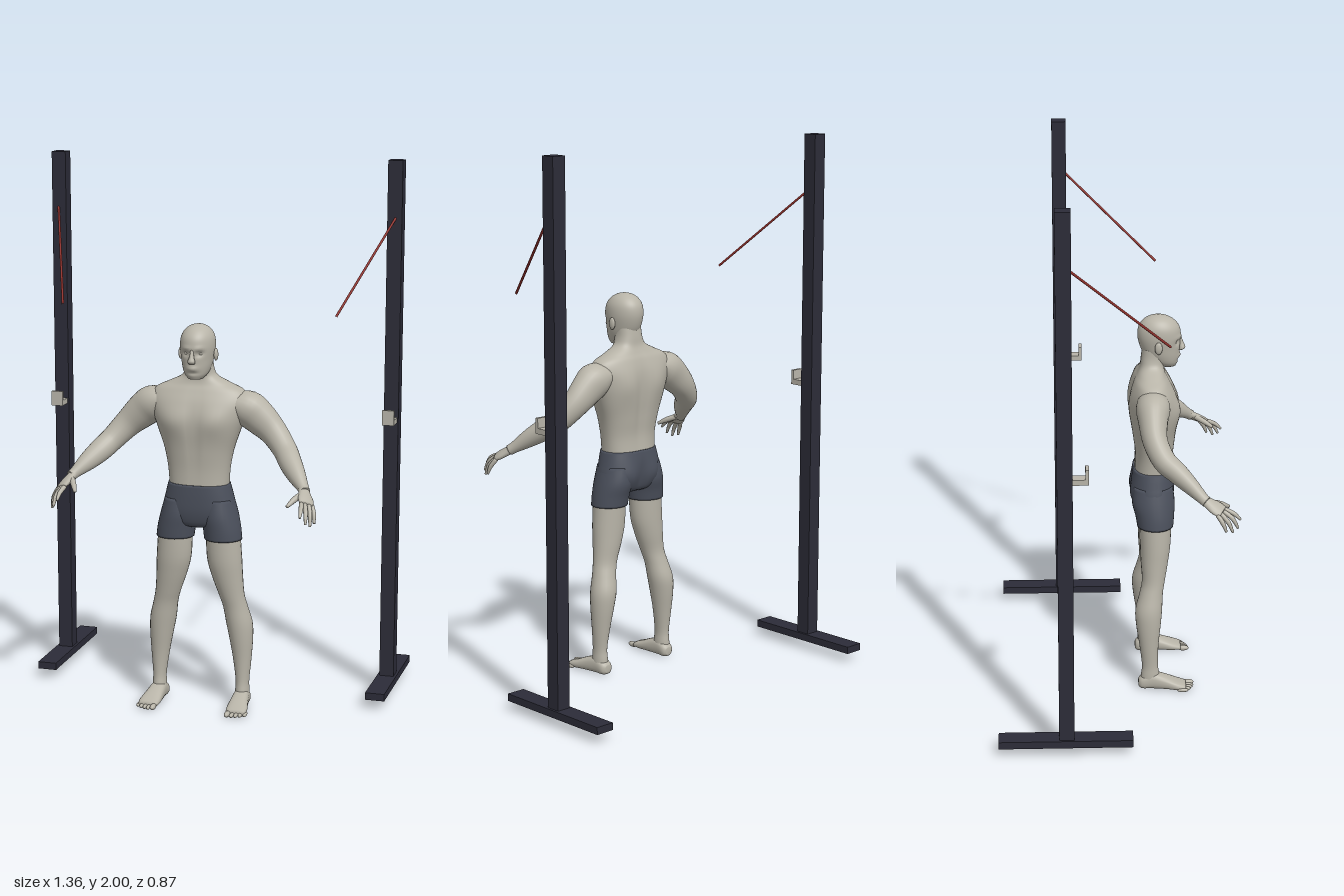
import * as THREE from 'three';

const material = (name, color) => Object.assign(new THREE.MeshStandardMaterial({ color }), { name });

// Catmull-Rom interpolation of every number in a list of section rows
function refine(rows, steps) {
  const out = [], at = i => rows[Math.min(Math.max(i, 0), rows.length - 1)];
  for (let i = 0; i < rows.length - 1; i++) {
    for (let s = 0; s < steps; s++) {
      const t = s / steps;
      out.push(rows[i].map((p1, k) => {
        const p0 = at(i - 1)[k], p2 = at(i + 1)[k], p3 = at(i + 2)[k];
        return p1 + 0.5 * t * (p2 - p0 + t * (2 * p0 - 5 * p1 + 4 * p2 - p3 + t * (3 * (p1 - p2) + p3 - p0)));
      }));
    }
  }
  out.push(rows[rows.length - 1]);
  return out;
}

// Closed skin over elliptical sections [x, y, z, halfWidth, halfDepth]
function loft(rows, { ref = [1, 0, 0], dir = null, sides = 24, steps = 4, power = 1, sculpt = null } = {}) {
  let list = refine(rows, steps);
  const centres = list.map(r => new THREE.Vector3(r[0], r[1], r[2]));
  const pos = [], index = [], last = list.length - 1;
  const shape = v => Math.sign(v) * Math.abs(v) ** power;
  const rings = [0, ...list.keys(), last];
  rings.forEach((i, n) => {
    const size = n === 0 || n === rings.length - 1 ? 0.001 : 1;
    const w = dir ? new THREE.Vector3(...dir)
      : centres[Math.min(i + 1, last)].clone().sub(centres[Math.max(i - 1, 0)]).normalize();
    const u = new THREE.Vector3(...ref).addScaledVector(w, -w.dot(new THREE.Vector3(...ref))).normalize();
    const v = w.clone().cross(u);
    for (let j = 0; j < sides; j++) {
      const a = j / sides * Math.PI * 2;
      const p = centres[i].clone()
        .addScaledVector(u, shape(Math.cos(a)) * list[i][3] * size)
        .addScaledVector(v, shape(Math.sin(a)) * list[i][4] * size);
      if (sculpt) sculpt(p);
      pos.push(p.x, p.y, p.z);
      if (n < rings.length - 1) {
        const k = n * sides + j, m = n * sides + (j + 1) % sides;
        index.push(k, m, m + sides, k, m + sides, k + sides);
      }
    }
  });
  const g = new THREE.BufferGeometry();
  g.setAttribute('position', new THREE.Float32BufferAttribute(pos, 3));
  g.setIndex(index);
  g.computeVertexNormals();
  return g;
}

function mirrored(geometry) {
  const g = geometry.clone().scale(-1, 1, 1), ix = g.index;
  for (let i = 0; i < ix.count; i += 3) {
    const a = ix.getX(i);
    ix.setX(i, ix.getX(i + 1));
    ix.setX(i + 1, a);
  }
  return g;
}

const bell = (d, width) => Math.exp(-((d / width) ** 2));
// Rows [y, halfWidth, back z, front z] to central sections
const upright = rows => rows.map(([y, w, b, f]) => [0, y, (b + f) / 2, w, (f - b) / 2]);

export function createModel() {
  const model = new THREE.Group();
  const skin = material('skin', 0xb8b4a8), shortsCloth = material('shortsCloth', 0x4b505c);
  const steel = material('darkSteel', 0x2c2c38), hookMetal = material('hookMetal', 0xb9b5aa);
  const rubber = material('redBand', 0x8e2f2a);

  const add = (name, geometry, mat) => {
    const mesh = new THREE.Mesh(geometry, mat);
    mesh.name = name;
    model.add(mesh);
  };
  const pair = (name, geometry, mat) => {
    add(name + 'Left', geometry, mat);
    add(name + 'Right', mirrored(geometry), mat);
  };
  const box = (w, h, d, x, y, z) => new THREE.BoxGeometry(w, h, d).translate(x, y, z);
  const ball = (x, y, z, a, b, c) => new THREE.SphereGeometry(1, 16, 12).scale(a, b, c).translate(x, y, z);
  const up = [0, 1, 0];

  // Rack posts, feet, hooks and bands
  pair('post', box(0.054, 1.95, 0.054, 0.642, 1.025, -0.193), steel);
  pair('postFoot', box(0.072, 0.027, 0.48, 0.642, 0.049, -0.196), steel);
  pair('hookShelf', box(0.044, 0.02, 0.056, 0.642, 1.05, -0.138), hookMetal);
  pair('hookLip', box(0.044, 0.055, 0.012, 0.642, 1.068, -0.116), hookMetal);
  const bandPath = new THREE.LineCurve3(new THREE.Vector3(0.645, 1.792, -0.168), new THREE.Vector3(0.508, 1.48, 0.173));
  pair('band', new THREE.TubeGeometry(bandPath, 1, 0.0045, 8), rubber);

  // Torso with chest, shoulder blades and spine groove
  add('torso', loft(upright([
    [0.83, 0.11, 0.07, 0.214], [0.9, 0.115, 0.073, 0.215], [0.97, 0.128, 0.064, 0.222],
    [1.04, 0.151, 0.055, 0.23], [1.1, 0.172, 0.053, 0.228], [1.15, 0.183, 0.057, 0.216],
    [1.19, 0.165, 0.068, 0.197], [1.215, 0.115, 0.08, 0.184], [1.24, 0.066, 0.09, 0.18],
    [1.27, 0.052, 0.094, 0.185], [1.31, 0.05, 0.1, 0.19]]), {
    dir: up, sides: 48, steps: 5, power: 0.85, sculpt: p => {
      const x = Math.abs(p.x);
      if (p.z > 0.15) {
        p.z += 0.013 * bell(x - 0.075, 0.055) * bell(p.y - 1.085, 0.05);
        p.z -= 0.007 * bell(x, 0.015) * bell(p.y - 1.03, 0.13);
      } else {
        p.z += 0.013 * bell(x, 0.022) * bell(p.y - 1.03, 0.15);
        p.z -= 0.009 * bell(x - 0.075, 0.045) * bell(p.y - 1.1, 0.06);
      }
    },
  }), skin);

  // Head with brow, eye sockets, lips and chin
  add('head', loft(upright([
    [1.238, 0.026, 0.165, 0.222], [1.255, 0.042, 0.132, 0.23], [1.28, 0.052, 0.108, 0.234],
    [1.31, 0.058, 0.092, 0.236], [1.35, 0.063, 0.082, 0.24], [1.385, 0.06, 0.085, 0.235],
    [1.41, 0.047, 0.101, 0.216], [1.425, 0.027, 0.125, 0.19], [1.431, 0.005, 0.152, 0.162]]), {
    dir: up, sides: 48, steps: 6, sculpt: p => {
      if (p.z < 0.18) return;
      const x = Math.abs(p.x);
      p.z -= 0.011 * bell(x - 0.025, 0.013) * bell(p.y - 1.333, 0.01);
      p.z += 0.004 * bell(x - 0.022, 0.02) * bell(p.y - 1.352, 0.008);
      p.z += 0.006 * bell(x, 0.018) * bell(p.y - 1.278, 0.009);
      p.z -= 0.004 * bell(x, 0.02) * bell(p.y - 1.262, 0.006);
    },
  }), skin);
  add('nose', loft([[0, 1.35, 0.234, 0.006, 0.006], [0, 1.325, 0.241, 0.008, 0.009],
    [0, 1.307, 0.245, 0.014, 0.012], [0, 1.298, 0.239, 0.012, 0.01]], { dir: [0, -1, 0], sides: 14 }), skin);
  pair('eye', ball(0.024, 1.333, 0.217, 0.011, 0.007, 0.007), skin);
  pair('ear', ball(0.061, 1.322, 0.158, 0.008, 0.023, 0.014).rotateY(0.03), skin);

  // Shorts: hips with buttocks, then the two legs
  add('shortsHips', loft(upright([
    [0.685, 0.05, 0.1, 0.19], [0.7, 0.11, 0.075, 0.208], [0.745, 0.136, 0.06, 0.219],
    [0.8, 0.126, 0.06, 0.221], [0.846, 0.114, 0.066, 0.22]]), {
    dir: up, sides: 40, power: 0.85, sculpt: p => {
      if (p.z > 0.13) return;
      p.z -= 0.008 * bell(Math.abs(p.x) - 0.06, 0.04) * bell(p.y - 0.755, 0.045);
      p.z += 0.014 * bell(p.x, 0.014) * bell(p.y - 0.74, 0.06);
    },
  }), shortsCloth);
  pair('shortsLeg', loft([[0.072, 0.79, 0.14, 0.056, 0.072], [0.077, 0.73, 0.14, 0.068, 0.079],
    [0.086, 0.68, 0.145, 0.07, 0.072], [0.091, 0.64, 0.147, 0.07, 0.067]], { dir: [0, -1, 0], sides: 28 }), shortsCloth);

  // Legs from thigh to ankle
  pair('leg', loft([
    [0.09, 0.68, 0.147, 0.063, 0.06], [0.096, 0.57, 0.147, 0.065, 0.057], [0.106, 0.5, 0.144, 0.058, 0.051],
    [0.121, 0.43, 0.14, 0.048, 0.043], [0.134, 0.38, 0.131, 0.046, 0.044], [0.146, 0.32, 0.122, 0.049, 0.05],
    [0.153, 0.26, 0.121, 0.044, 0.046], [0.158, 0.18, 0.123, 0.034, 0.036], [0.16, 0.1, 0.127, 0.025, 0.03],
    [0.16, 0.06, 0.128, 0.026, 0.034], [0.16, 0.025, 0.128, 0.027, 0.036]], { dir: [0, -1, 0] }), skin);

  // Feet and toes
  pair('foot', loft([
    [0.157, 0.024, 0.084, 0.014, 0.014], [0.158, 0.026, 0.097, 0.026, 0.025], [0.16, 0.034, 0.135, 0.029, 0.033],
    [0.163, 0.027, 0.185, 0.034, 0.026], [0.167, 0.018, 0.23, 0.039, 0.017], [0.168, 0.013, 0.262, 0.035, 0.011]],
    { dir: [0, 0, 1], power: 0.8 }), skin);
  for (let i = 0; i < 5; i++) {
    const r = i === 0 ? 0.0105 : 0.0075;
    pair('toe' + (i + 1), ball(0.142 + i * 0.0148 + (i ? 0.002 : 0), r + 0.001, 0.272 - i * i * 0.0014, r, r, 0.022), skin);
  }

  // Arms from shoulder to wrist
  pair('arm', loft([
    [0.12, 1.145, 0.135, 0.04, 0.055], [0.175, 1.128, 0.132, 0.065, 0.062], [0.22, 1.095, 0.13, 0.063, 0.053],
    [0.275, 1.045, 0.135, 0.051, 0.045], [0.325, 0.99, 0.165, 0.044, 0.042], [0.357, 0.955, 0.21, 0.042, 0.038],
    [0.392, 0.92, 0.255, 0.034, 0.03], [0.425, 0.887, 0.295, 0.021, 0.021], [0.435, 0.876, 0.31, 0.02, 0.02]],
    { ref: [0.7, 0.7, 0] }), skin);

  // Hands: flat palm, four fingers and a thumb
  const spread = [0.7, -0.25, -0.65];
  pair('palm', loft([[0.428, 0.883, 0.3, 0.019, 0.016], [0.436, 0.872, 0.317, 0.023, 0.015],
    [0.447, 0.857, 0.343, 0.03, 0.013], [0.455, 0.845, 0.365, 0.028, 0.009]], { ref: spread, sides: 18 }), skin);
  const digits = {
    indexFinger: [[0.438, 0.85, 0.372], [0.445, 0.835, 0.405], [0.447, 0.812, 0.43]],
    middleFinger: [[0.45, 0.846, 0.368], [0.461, 0.822, 0.4], [0.465, 0.787, 0.42]],
    ringFinger: [[0.462, 0.842, 0.358], [0.473, 0.812, 0.385], [0.477, 0.776, 0.401]],
    littleFinger: [[0.47, 0.84, 0.346], [0.482, 0.812, 0.365], [0.486, 0.782, 0.377]],
    thumb: [[0.428, 0.872, 0.325], [0.408, 0.857, 0.362], [0.392, 0.84, 0.393]],
  };
  for (const [name, [a, b, c]] of Object.entries(digits)) {
    const r = name === 'thumb' ? 0.0105 : 0.008;
    pair(name, loft([[...a, r, r], [...b, r, r], [...c, r * 0.55, r * 0.55]], { ref: spread, sides: 10 }), skin);
  }
  return model;
}
